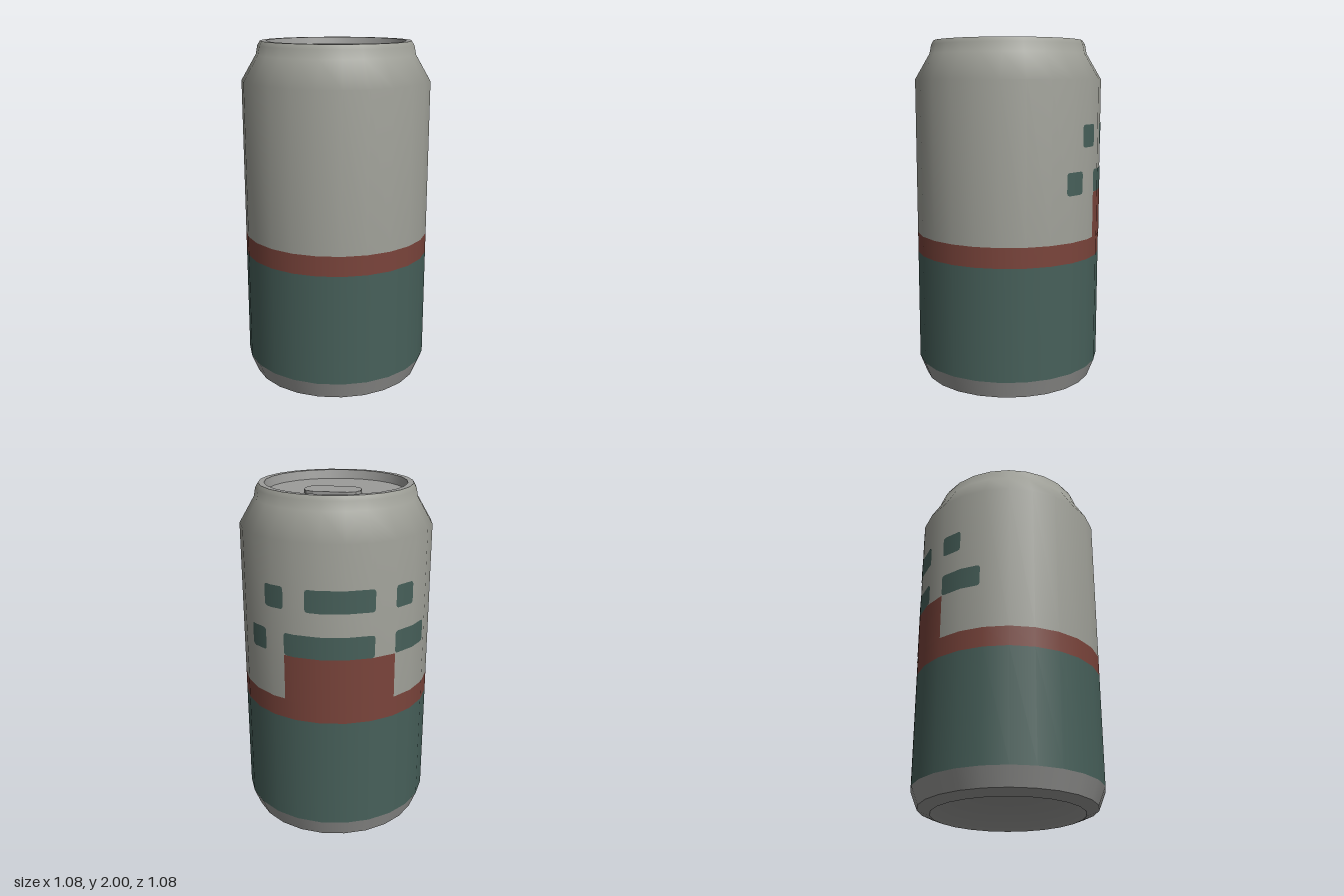
import * as THREE from 'three';

const SIDES = 24;
const STEP = (Math.PI * 2) / SIDES;
const R = 0.54;

const material = (name, color) => {
  const m = new THREE.MeshStandardMaterial({ color });
  m.name = name;
  return m;
};

export function createModel() {
  const can = new THREE.Group();
  can.name = 'drinkCan';

  const paintGrey = material('bodyGrey', 0xa0a199);
  const metal = material('lidGrey', 0x9c9c9a);
  const red = material('brickRed', 0x7a443b);
  const green = material('darkGreen', 0x47605a);

  const add = (name, geometry, mat) => {
    const mesh = new THREE.Mesh(geometry, mat);
    mesh.name = name;
    can.add(mesh);
    return mesh;
  };

  // Turned part; each call is one smooth run, so joins between calls stay sharp
  const turn = (name, mat, profile) =>
    add(name, new THREE.LatheGeometry(profile.map(([r, y]) => new THREE.Vector2(r, y)), SIDES), mat);

  // Base, from the hollow underside out to the wall
  turn('hollowBase', metal, [[0, 0.13], [0.22, 0.11], [0.36, 0.065], [0.43, 0]]);
  turn('baseRing', metal, [[0.43, 0], [0.5, 0.028]]);
  turn('baseTaper', metal, [[0.5, 0.028], [R, 0.13]]);

  // Wall bands and shoulder
  turn('greenBand', green, [[R, 0.13], [R, 0.775]]);
  turn('redBand', red, [[R, 0.775], [R, 0.89]]);
  turn('upperBody', paintGrey, [[R, 0.89], [R, 1.78], [0.455, 1.925], [0.445, 1.975], [0.43, 2]]);

  // Rim and sunken lid
  turn('rimTop', metal, [[0.43, 2], [0.397, 2]]);
  turn('rimInside', metal, [[0.397, 2], [0.387, 1.95]]);
  turn('lid', metal, [[0.387, 1.95], [0, 1.95]]);

  // Pull tab: rounded plate with two-step corners
  const corner = [[0.155, 0.027], [0.135, 0.07], [0.092, 0.09]];
  const quarter = (sx, sy, reverse) => {
    const c = corner.map(([x, y]) => new THREE.Vector2(sx * x, 0.1 + sy * y));
    return reverse ? c.reverse() : c;
  };
  const outline = new THREE.Shape([
    ...quarter(1, 1, false), ...quarter(-1, 1, true),
    ...quarter(-1, -1, false), ...quarter(1, -1, true),
  ]);
  const tab = add('pullTab', new THREE.ExtrudeGeometry(outline, { depth: 0.025, bevelEnabled: false }), metal);
  tab.rotation.x = -Math.PI / 2;
  tab.position.y = 1.95;

  // Painted plate following the wall facets; angles in degrees from the back towards -x
  const plate = (name, mat, from, to, y0, y1, round) => {
    const a0 = Math.PI + THREE.MathUtils.degToRad(from);
    const a1 = Math.PI + THREE.MathUtils.degToRad(to);
    const angles = [a0, a1];
    for (let k = Math.ceil(a0 / STEP); k * STEP < a1; k++) angles.push(k * STEP);
    for (const t of [0.3, 1]) angles.push(a0 + (t * round) / R, a1 - (t * round) / R);
    angles.sort((a, b) => a - b);
    const pos = [], nor = [], index = [];
    angles.forEach((a, i) => {
      const off = a - (Math.floor(a / STEP) + 0.5) * STEP;
      const r = (R * Math.cos(STEP / 2)) / Math.cos(off) + 0.002;
      const edge = Math.min(a - a0, a1 - a) * R;
      const u = Math.max(0, round - edge);
      const inset = round - Math.sqrt(Math.max(0, round * round - u * u));
      for (const y of [y0 + inset, y1 - inset]) {
        pos.push(r * Math.sin(a), y, r * Math.cos(a));
        nor.push(Math.sin(a), 0, Math.cos(a));
      }
      if (i > 0) {
        const b = 2 * i;
        index.push(b - 2, b, b + 1, b - 2, b + 1, b - 1);
      }
    });
    const g = new THREE.BufferGeometry();
    g.setAttribute('position', new THREE.Float32BufferAttribute(pos, 3));
    g.setAttribute('normal', new THREE.Float32BufferAttribute(nor, 3));
    g.setIndex(index);
    add(name, g, mat);
  };

  // Red block and rows of green blocks on the back, on a regular angular grid
  const cell = (k) => -49 + 13.5 * k;
  plate('redBlock', red, cell(2), cell(7), 0.885, 1.152, 0);
  for (const [from, to] of [[0, 1], [2, 6], [7, 9]])
    plate('lowerGreenBlock', green, cell(from), cell(to), 1.152, 1.28, 0.016);
  for (const [from, to] of [[1, 2], [3, 6], [7, 8]])
    plate('upperGreenBlock', green, cell(from), cell(to), 1.41, 1.535, 0.016);

  return can;
}
